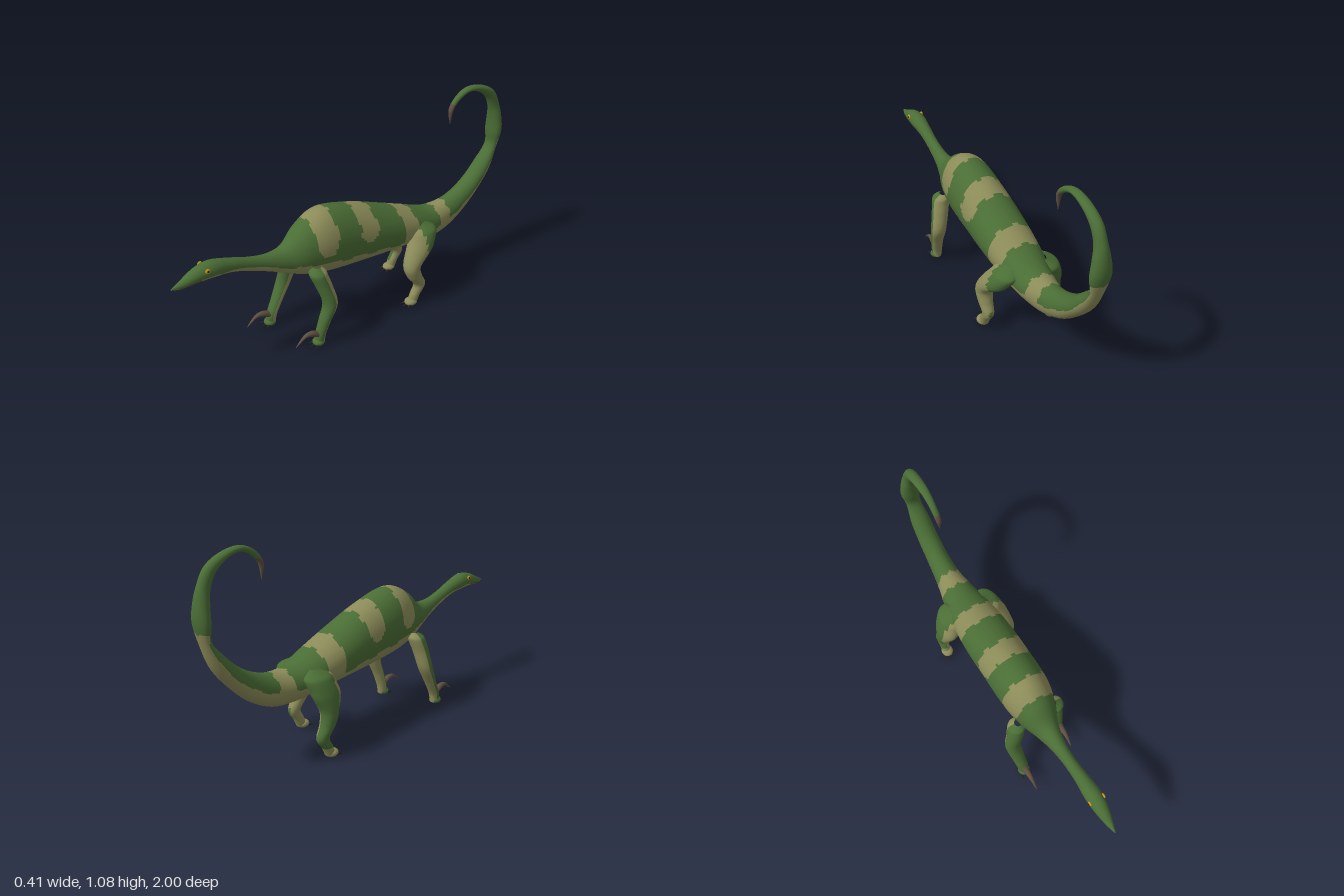
import * as THREE from 'three';

const mat = (name, color) => {
  const m = new THREE.MeshStandardMaterial({ color });
  m.name = name;
  return m;
};
const GREEN = 0, OLIVE = 1, BROWN = 2;
const green = mat('leaf green', 0x4a6d35);
const olive = mat('olive tan', 0x8b8b59);
const brown = mat('claw brown', 0x5e4f40);
const dark = mat('dark claw', 0x28221e);
const amber = mat('amber eye', 0xd0981c);
const palette = [green, olive, brown];

const V = (x, y, z) => new THREE.Vector3(x, y, z);

// Closed-ring skin; paint(point, cosine, sine, t) picks a palette index per quad
function loft(name, rings, sides, ringAt, paint) {
  const pos = [], buckets = [[], [], []];
  for (let i = 0; i <= rings; i++) {
    const { c, a, b } = ringAt(i / rings);
    for (let j = 0; j < sides; j++) {
      const th = (j / sides) * Math.PI * 2;
      const p = c.clone().addScaledVector(a, Math.cos(th)).addScaledVector(b, Math.sin(th));
      pos.push(p.x, p.y, p.z);
    }
  }
  const at = k => V(pos[3 * k], pos[3 * k + 1], pos[3 * k + 2]);
  for (let i = 0; i < rings; i++) {
    for (let j = 0; j < sides; j++) {
      const k = (j + 1) % sides, th = ((j + 0.5) / sides) * Math.PI * 2;
      const q = [i * sides + j, (i + 1) * sides + j, i * sides + k, (i + 1) * sides + k];
      const mid = at(q[0]).add(at(q[3])).multiplyScalar(0.5);
      const id = paint(mid, Math.cos(th), Math.sin(th), (i + 0.5) / rings);
      buckets[id].push(q[0], q[1], q[2], q[2], q[1], q[3]);
    }
  }
  const g = new THREE.BufferGeometry();
  g.setAttribute('position', new THREE.Float32BufferAttribute(pos, 3));
  g.setIndex(buckets.flat());
  let start = 0;
  buckets.forEach((bk, id) => {
    if (bk.length) g.addGroup(start, bk.length, id);
    start += bk.length;
  });
  g.computeVertexNormals();
  const mesh = new THREE.Mesh(g, palette);
  mesh.name = name;
  return mesh;
}

// Piecewise linear lookup, keys descending
function lookup(table, x) {
  for (let i = 1; i < table.length; i++) {
    const [x0, y0] = table[i - 1], [x1, y1] = table[i];
    if (x >= x1) return THREE.MathUtils.lerp(y0, y1, THREE.MathUtils.clamp((x - x0) / (x1 - x0), 0, 1));
  }
  return table[table.length - 1][1];
}

// Body sections: back z, back y, belly z, belly y, half width
const sections = [
  [1, 0.556, 1, 0.55, 0.002], [0.95, 0.58, 0.95, 0.54, 0.018], [0.87, 0.617, 0.87, 0.545, 0.036],
  [0.8, 0.628, 0.8, 0.543, 0.042], [0.7, 0.602, 0.7, 0.53, 0.034], [0.6, 0.567, 0.59, 0.49, 0.031],
  [0.5, 0.545, 0.49, 0.445, 0.04], [0.41, 0.555, 0.4, 0.4, 0.062], [0.31, 0.64, 0.31, 0.362, 0.1],
  [0.2, 0.69, 0.2, 0.335, 0.124], [0, 0.648, 0, 0.315, 0.13], [-0.2, 0.57, -0.2, 0.305, 0.13],
  [-0.36, 0.505, -0.36, 0.295, 0.117], [-0.5, 0.455, -0.48, 0.28, 0.095], [-0.61, 0.457, -0.61, 0.287, 0.07],
  [-0.7, 0.485, -0.74, 0.355, 0.058], [-0.79, 0.54, -0.84, 0.45, 0.054], [-0.865, 0.615, -0.925, 0.56, 0.05],
  [-0.93, 0.7, -0.975, 0.69, 0.039], [-0.93, 0.775, -0.997, 0.79, 0.052], [-0.925, 0.86, -0.993, 0.87, 0.042],
  [-0.915, 0.92, -0.975, 0.94, 0.03], [-0.885, 0.985, -0.93, 1.02, 0.027], [-0.82, 1.035, -0.84, 1.067, 0.024],
  [-0.75, 1.05, -0.74, 1.077, 0.02], [-0.685, 1.02, -0.665, 1.04, 0.016], [-0.65, 0.98, -0.624, 0.98, 0.014],
  [-0.636, 0.9, -0.634, 0.9, 0.001],
];
const backLine = new THREE.CatmullRomCurve3(sections.map(s => V(s[4], s[1], s[0])));
const bellyLine = new THREE.CatmullRomCurve3(sections.map(s => V(s[4], s[3], s[2])));

const bodyRing = t => {
  const top = backLine.getPoint(t), low = bellyLine.getPoint(t);
  const w = Math.max(0.001, top.x);
  top.x = low.x = 0;
  return { c: top.clone().add(low).multiplyScalar(0.5), a: V(w, 0, 0), b: top.sub(low).multiplyScalar(0.5) };
};

// Height on the section where the pale belly starts
const bellyEdge = [[1, -0.4], [0.75, -0.45], [0.6, -0.05], [0.4, -0.3], [0.2, -0.45],
  [-0.3, -0.45], [-0.55, 0.05], [-0.8, -0.1], [-1, -0.2]];

function bodyPaint(p, c, s, t) {
  if (t > 0.945) return BROWN;
  if (p.z < -0.55 && p.y > 0.7) return p.y < 0.74 && p.z < -0.8 && s < 0.1 ? OLIVE : GREEN;
  if (p.z > 0.86 && p.z < 0.96 && s < -0.45 && s > -0.75) return BROWN;
  if (s < lookup(bellyEdge, p.z) + 0.03 * Math.sin(p.z * 40)) return OLIVE;
  const z = p.z + 0.006 * Math.sin(c * 9);
  // Saddle bands with rounded lower ends
  for (const centre of [0.225, -0.022]) {
    const half = 0.055 * Math.sqrt(THREE.MathUtils.clamp((p.y - 0.475) / 0.05, 0, 1));
    if (Math.abs(z - centre) < half) return OLIVE;
  }
  if (z < -0.25 && z > -0.355) return OLIVE;
  if (z < -0.53 && z > -0.612) return OLIVE;
  return GREEN;
}

// Limb through rows of x, y, z, half width, half depth
function limb(name, rows, paint) {
  const path = new THREE.CatmullRomCurve3(rows.map(r => V(r[0], r[1], r[2])));
  const size = new THREE.CatmullRomCurve3(rows.map(r => V(r[3], r[4], 0)));
  return loft(name, 48, 24, t => {
    const r = size.getPoint(t);
    return { c: path.getPoint(t), a: V(Math.max(r.x, 0.001), 0, 0), b: V(0, 0, -Math.max(r.y, 0.001)) };
  }, paint);
}

// Foot pad with three small toe claws
function foot(name, x, z, length, material) {
  const g = new THREE.Group();
  g.name = name;
  const pad = new THREE.Mesh(new THREE.SphereGeometry(1, 20, 12), material);
  pad.name = 'footPad';
  pad.scale.set(0.032, 0.02, length);
  pad.position.set(x, 0.022, z);
  g.add(pad);
  for (const k of [-1, 0, 1]) {
    const claw = new THREE.Mesh(new THREE.ConeGeometry(0.009, 0.04, 8), dark);
    claw.name = 'toeClaw';
    claw.rotation.set(Math.PI / 2 + 0.2, 0, -k * 0.35);
    claw.position.set(x + k * 0.024, 0.013, z + length * (k ? 0.85 : 1.05));
    g.add(claw);
  }
  return g;
}

function foreLeg(side, footZ, elbowZ) {
  const g = new THREE.Group();
  g.name = side > 0 ? 'leftForeLeg' : 'rightForeLeg';
  const x = v => v * side;
  g.add(limb('arm', [
    [x(0.1), 0.44, 0.285, 0.02, 0.02], [x(0.112), 0.41, 0.29, 0.046, 0.046],
    [x(0.13), 0.34, (0.29 + elbowZ) / 2, 0.045, 0.042], [x(0.152), 0.24, elbowZ, 0.042, 0.037],
    [x(0.148), 0.14, (elbowZ + footZ) / 2 + 0.005, 0.034, 0.029], [x(0.142), 0.06, footZ, 0.029, 0.026],
    [x(0.142), 0.015, footZ + 0.005, 0.024, 0.026],
  ], (p, c, s) => (-s * 0.9 + c * side * 0.35 > 0 ? GREEN : OLIVE)));
  g.add(foot('foreFoot', x(0.142), footZ + 0.012, 0.032, green));

  // Long hooked claw
  const path = new THREE.CatmullRomCurve3([V(x(0.142), 0.06, footZ), V(x(0.142), 0.086, footZ + 0.05),
    V(x(0.142), 0.088, footZ + 0.09), V(x(0.142), 0.045, footZ + 0.148)]);
  g.add(loft('longClaw', 20, 14, t => {
    const r = 0.02 * Math.pow(1 - t, 0.7) + 0.0008;
    return { c: path.getPoint(t), a: V(r, 0, 0), b: V(0, -r, 0) };
  }, () => BROWN));
  return g;
}

function hindLeg(side, shift) {
  const g = new THREE.Group();
  g.name = side > 0 ? 'leftHindLeg' : 'rightHindLeg';
  const x = v => v * side;
  const kneeZ = -0.275 + shift, ankleZ = -0.325 + shift;
  g.add(limb('leg', [
    [x(0.08), 0.44, -0.385 + shift * 0.2, 0.02, 0.03], [x(0.105), 0.4, -0.385 + shift * 0.2, 0.06, 0.08],
    [x(0.135), 0.33, -0.345 + shift * 0.4, 0.058, 0.08], [x(0.158), 0.24, kneeZ, 0.045, 0.047],
    [x(0.163), 0.18, kneeZ - 0.015, 0.038, 0.042], [x(0.165), 0.115, ankleZ, 0.029, 0.034],
    [x(0.165), 0.06, ankleZ + 0.028, 0.026, 0.03], [x(0.165), 0.015, ankleZ + 0.045, 0.024, 0.026],
  ], (p, c) => (p.z < -0.355 && c * side > -0.3 && (p.y > 0.06) ? GREEN : OLIVE)));
  g.add(foot('hindFoot', x(0.165), ankleZ + 0.055, 0.036, olive));
  return g;
}

function eye(side) {
  const g = new THREE.Group();
  g.name = side > 0 ? 'leftEye' : 'rightEye';
  for (const [name, m, r, x] of [['iris', amber, 0.013, 0.038], ['pupil', dark, 0.006, 0.0425]]) {
    const ball = new THREE.Mesh(new THREE.SphereGeometry(r, 14, 10), m);
    ball.name = name;
    ball.scale.x = 0.45;
    ball.position.set(side * x, 0.604, 0.83);
    g.add(ball);
  }
  return g;
}

export function createModel() {
  const model = new THREE.Group();
  model.name = 'longTailedReptile';
  model.add(loft('bodyAndTail', 360, 72, bodyRing, bodyPaint));
  model.add(foreLeg(1, 0.305, 0.25), foreLeg(-1, 0.415, 0.325));
  model.add(hindLeg(1, 0), hindLeg(-1, -0.115));
  model.add(eye(1), eye(-1));
  return model;
}
